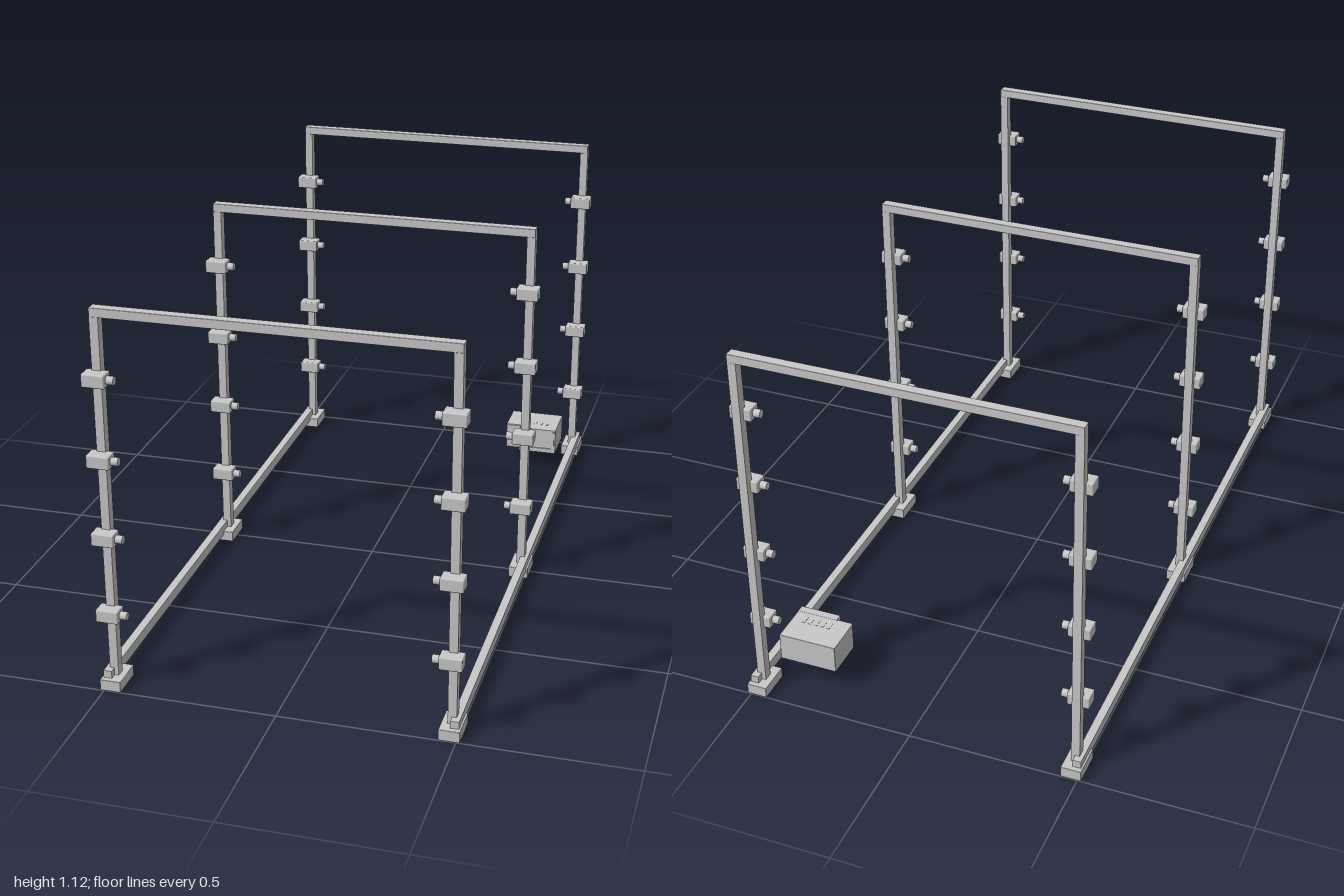
import * as THREE from 'three';
import { RoundedBoxGeometry } from 'three/addons/geometries/RoundedBoxGeometry.js';

const grey = new THREE.MeshStandardMaterial({ color: 0xc8c8c8 });
grey.name = 'light grey';

function add(parent, name, geometry, x = 0, y = 0, z = 0) {
  const mesh = new THREE.Mesh(geometry, grey);
  mesh.name = name;
  mesh.position.set(x, y, z);
  parent.add(mesh);
  return mesh;
}

// Box given by its lower and upper corners, optionally with softened edges
function block(parent, name, [x0, y0, z0], [x1, y1, z1], round = 0) {
  const size = [x1 - x0, y1 - y0, z1 - z0];
  const geo = round ? new RoundedBoxGeometry(...size, 2, round) : new THREE.BoxGeometry(...size);
  return add(parent, name, geo, (x0 + x1) / 2, (y0 + y1) / 2, (z0 + z1) / 2);
}

function group(parent, name) {
  const g = new THREE.Group();
  g.name = name;
  parent.add(g);
  return g;
}

// Clamp on the front of a post, with a round nozzle pointing inwards
function createClamp(parent, side, y) {
  const clamp = group(parent, 'clamp');
  clamp.position.set(side * 0.4805, y, 0.025);
  add(clamp, 'clampBody', new RoundedBoxGeometry(0.065, 0.038, 0.045, 2, 0.004));
  const nozzle = add(clamp, 'nozzle', new THREE.CylinderGeometry(0.0118, 0.0118, 0.024, 20), -side * 0.041);
  nozzle.rotation.z = Math.PI / 2;
}

// Upright gate: two posts on feet, a top bar and four clamps per post
function createGate(parent, z) {
  const gate = group(parent, 'gate');
  gate.position.z = z;
  block(gate, 'topBar', [-0.494, 1.092, -0.015], [0.494, 1.118, 0.015], 0.002);
  for (const side of [-1, 1]) {
    const post = add(gate, 'post', new THREE.BoxGeometry(0.025, 1.064, 0.028), side * 0.4815, 0.562, 0);
    post.name = side > 0 ? 'leftPost' : 'rightPost';
    add(gate, 'foot', new RoundedBoxGeometry(0.06, 0.033, 0.1, 2, 0.002), side * 0.481, 0.0165, 0);
    for (const y of [0.232, 0.465, 0.695, 0.926]) createClamp(gate, side, y);
  }
}

function rectangle(Type, x0, y0, x1, y1) {
  return new Type([[x0, y0], [x1, y0], [x1, y1], [x0, y1]].map(p => new THREE.Vector2(...p)));
}

// Small oven with a framed door, control panel, stubby feet and top vents
function createOven(parent) {
  const oven = group(parent, 'oven');
  block(oven, 'ovenBody', [0.277, 0.065, -0.895], [0.453, 0.151, -0.775], 0.002);
  block(oven, 'controlPanel', [0.279, 0.067, -0.776], [0.326, 0.149, -0.771]);

  const frame = rectangle(THREE.Shape, 0.328, 0.066, 0.453, 0.151);
  frame.holes.push(rectangle(THREE.Path, 0.338, 0.081, 0.438, 0.146));
  add(oven, 'doorFrame', new THREE.ExtrudeGeometry(frame, { depth: 0.024, bevelEnabled: false }), 0, 0, -0.776);
  block(oven, 'doorWindow', [0.338, 0.081, -0.776], [0.438, 0.146, -0.756]);
  block(oven, 'doorHandle', [0.444, 0.08, -0.753], [0.449, 0.146, -0.747]);

  // Knob and two buttons
  const knob = add(oven, 'knob', new THREE.CylinderGeometry(0.008, 0.009, 0.012, 10), 0.307, 0.119, -0.766);
  knob.rotation.x = Math.PI / 2;
  for (const x of [0.3, 0.315]) {
    const button = add(oven, 'button', new THREE.CylinderGeometry(0.003, 0.003, 0.006, 10), x, 0.083, -0.769);
    button.rotation.x = Math.PI / 2;
  }

  // Feet
  for (const x of [0.302, 0.428])
    for (const z of [-0.87, -0.8])
      add(oven, 'ovenFoot', new THREE.CylinderGeometry(0.006, 0.005, 0.008, 12), x, 0.062, z);

  // Vent bars
  for (let i = 0; i < 5; i++)
    block(oven, 'ventBar', [0.33 + i * 0.02, 0.1505, -0.82], [0.338 + i * 0.02, 0.152, -0.795]);
}

export function createModel() {
  const model = new THREE.Group();
  model.name = 'gateFrame';
  for (const z of [-0.95, 0, 0.95]) createGate(model, z);
  // Floor rails joining the gates
  for (const side of [-1, 1])
    add(model, 'floorRail', new THREE.BoxGeometry(0.024, 0.033, 1.97), side * 0.493, 0.0385, 0);
  createOven(model);
  return model;
}
